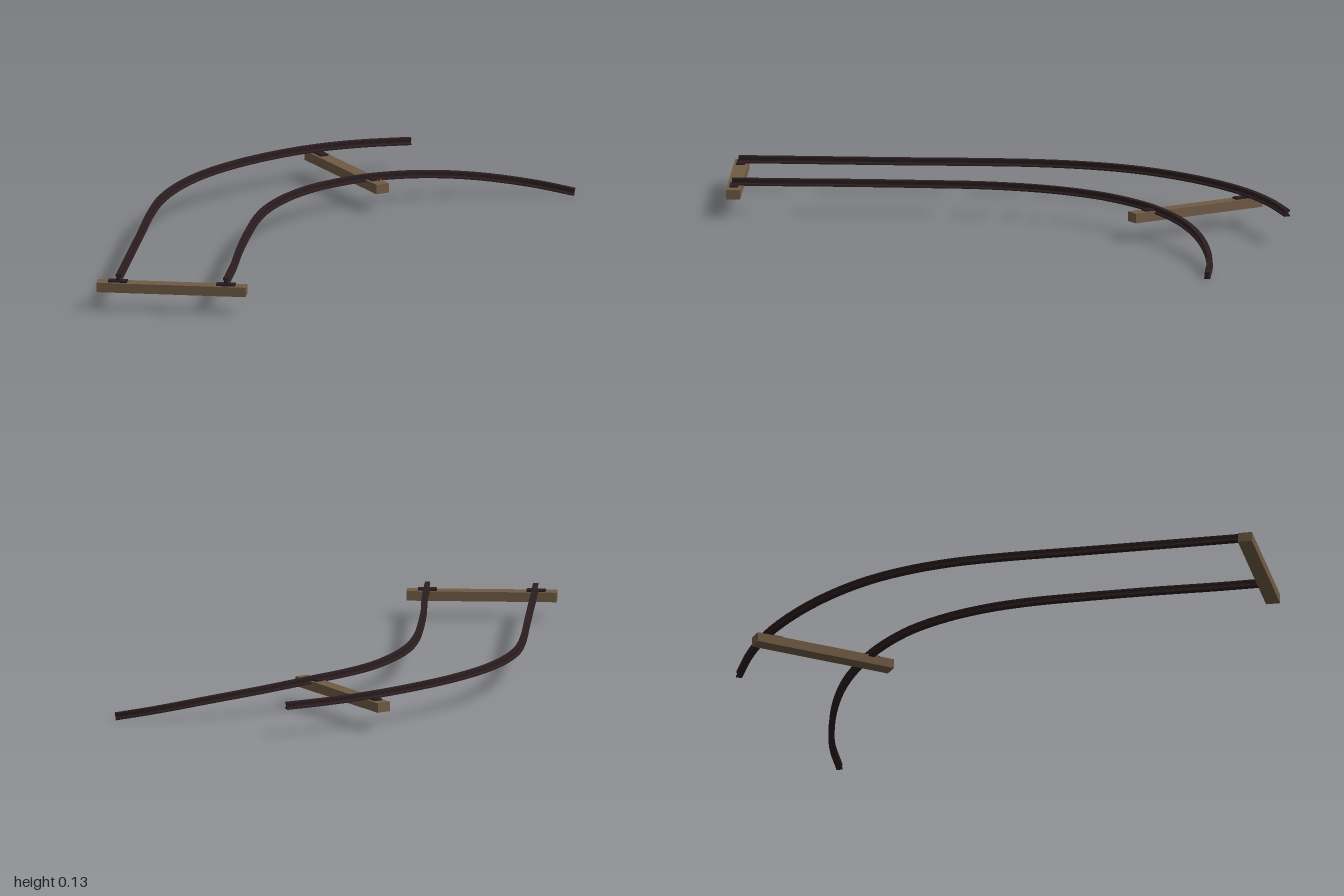
import * as THREE from 'three';
import { toCreasedNormals } from 'three/addons/utils/BufferGeometryUtils.js';

const wood = new THREE.MeshStandardMaterial({ color: 0x705c44 });
wood.name = 'weathered wood';
const steel = new THREE.MeshStandardMaterial({ color: 0x2b1d1f });
steel.name = 'dark rusted steel';

// Half of the rail section (foot, web, head), mirrored into a closed loop
const half = [[0.011, -0.0125], [0.011, -0.008], [0.005, -0.004], [0.005, 0.003], [0.009, 0.005], [0.009, 0.0125]];
const section = [...half, ...half.map(([x, y]) => [-x, y]).reverse()].map(([x, y]) => new THREE.Vector2(x, y));

// Sweeps the rail section along a path, keeping it upright
function sweepRail(points, steps = 72) {
  const curve = new THREE.CatmullRomCurve3(points.map((p) => new THREE.Vector3(...p)));
  const up = new THREE.Vector3(0, 1, 0);
  const n = section.length;
  const positions = [];
  const index = [];
  for (let i = 0; i <= steps; i++) {
    const p = curve.getPointAt(i / steps);
    const t = curve.getTangentAt(i / steps);
    const side = new THREE.Vector3().crossVectors(t, up).normalize();
    const top = new THREE.Vector3().crossVectors(side, t);
    for (const s of section) {
      const v = p.clone().addScaledVector(side, s.x).addScaledVector(top, s.y);
      positions.push(v.x, v.y, v.z);
    }
    if (i === steps) break;
    for (let j = 0; j < n; j++) {
      const a = i * n + j;
      const b = i * n + (j + 1) % n;
      index.push(a, b + n, b, a, a + n, b + n);
    }
  }
  // End caps
  for (const [a, b, c] of THREE.ShapeUtils.triangulateShape(section, [])) {
    const e = steps * n;
    index.push(a, b, c, e + a, e + c, e + b);
  }
  const geometry = new THREE.BufferGeometry();
  geometry.setAttribute('position', new THREE.Float32BufferAttribute(positions, 3));
  geometry.setIndex(index);
  return toCreasedNormals(geometry, 0.5);
}

function addMesh(parent, name, geometry, material, x = 0, y = 0, z = 0) {
  const mesh = new THREE.Mesh(geometry, material);
  mesh.name = name;
  mesh.position.set(x, y, z);
  parent.add(mesh);
  return mesh;
}

// Wooden sleeper with a fastening plate under each rail
function addSleeper(parent, name, x, z, angle, plates) {
  const sleeper = new THREE.Group();
  sleeper.name = name;
  sleeper.position.set(x, 0, z);
  sleeper.rotation.y = angle;
  addMesh(sleeper, 'sleeperBeam', new THREE.BoxGeometry(0.525, 0.034, 0.05), wood, 0, 0.083, 0);
  for (const px of plates) {
    addMesh(sleeper, 'railPlate', new THREE.BoxGeometry(0.066, 0.007, 0.03), steel, px, 0.103, 0);
  }
  parent.add(sleeper);
}

export function createModel() {
  const track = new THREE.Group();
  track.name = 'bentRailTrack';

  // Outer rail: straight, then a wide bend
  addMesh(track, 'outerRail', sweepRail([
    [-0.66, 0.115, 0.98], [-0.66, 0.115, 0.7], [-0.66, 0.115, 0.4], [-0.66, 0.116, 0.1],
    [-0.648, 0.117, -0.08], [-0.61, 0.119, -0.25], [-0.545, 0.121, -0.41], [-0.45, 0.122, -0.56],
    [-0.33, 0.122, -0.7], [-0.19, 0.12, -0.825], [-0.05, 0.116, -0.915], [0.11, 0.111, -0.988],
  ]), steel);

  // Inner rail: warped and drooping to the ground at its far end
  addMesh(track, 'innerRail', sweepRail([
    [-0.282, 0.115, 0.98], [-0.282, 0.115, 0.78], [-0.29, 0.114, 0.55], [-0.291, 0.113, 0.3],
    [-0.285, 0.113, 0.12], [-0.265, 0.112, -0.03], [-0.22, 0.111, -0.18], [-0.15, 0.109, -0.32],
    [-0.06, 0.107, -0.43], [0.04, 0.104, -0.52], [0.2, 0.091, -0.628], [0.38, 0.07, -0.703],
    [0.58, 0.038, -0.746], [0.72, 0.0135, -0.746],
  ]), steel);

  addSleeper(track, 'frontSleeper', -0.472, 0.972, 0, [-0.19, 0.19]);
  addSleeper(track, 'rearSleeper', -0.07, -0.655, -0.942, [-0.195, 0.18]);
  return track;
}
